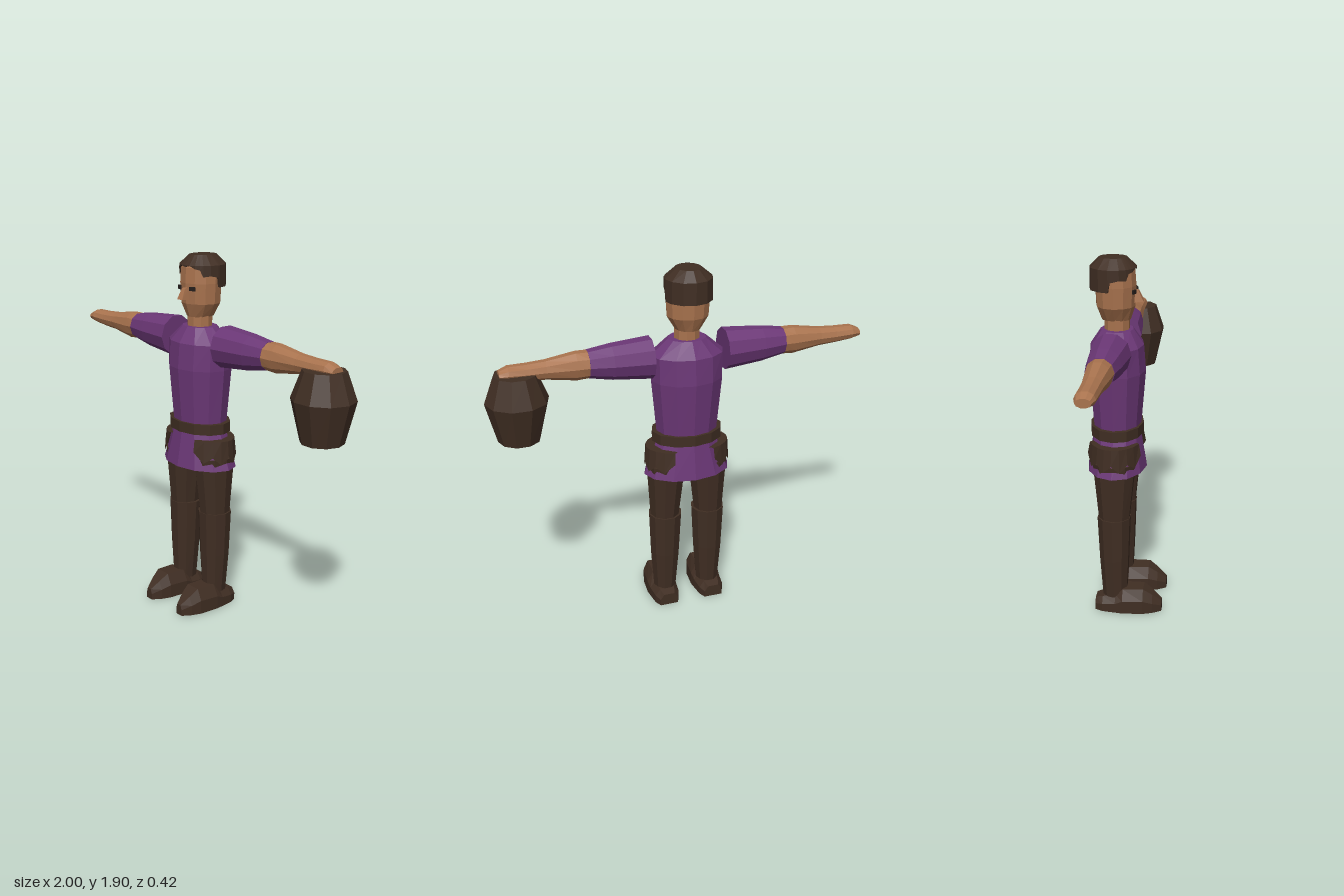
import * as THREE from 'three';

const mat = (name, color) => {
  const m = new THREE.MeshStandardMaterial({ color, flatShading: true, side: THREE.DoubleSide });
  m.name = name;
  return m;
};

// Skin a list of point rings into a surface, optionally closing both ends
function skin(rings, { closed = true, caps = true } = {}) {
  const n = rings[0].length, pos = rings.flat(2), idx = [];
  for (let r = 0; r < rings.length - 1; r++) {
    for (let i = 0; i < (closed ? n : n - 1); i++) {
      const j = (i + 1) % n, a = r * n, b = a + n;
      idx.push(a + i, b + i, a + j, a + j, b + i, b + j);
    }
  }
  if (caps) {
    const last = (rings.length - 1) * n;
    for (let i = 1; i < n - 1; i++) {
      idx.push(0, i, i + 1, last, last + i + 1, last + i);
    }
  }
  const g = new THREE.BufferGeometry();
  g.setAttribute('position', new THREE.Float32BufferAttribute(pos, 3));
  g.setIndex(idx);
  const flat = g.toNonIndexed();
  flat.computeVertexNormals();
  return flat;
}

const angles = n => Array.from({ length: n }, (_, i) => (i / n) * Math.PI * 2);

// Upright loft: sections are [y, radiusX, radiusZ, centreX, centreZ]
const loftY = (sections, n = 12) => skin(sections.map(([y, rx, rz, cx = 0, cz = -0.05]) =>
  angles(n).map(a => [cx + rx * Math.cos(a), y, cz + rz * Math.sin(a)])));

// Sideways loft: sections are [x, radiusY, radiusZ, centreY]; side is +1 or -1
function loftX(sections, side, n = 10) {
  const rings = sections.map(([x, ry, rz, cy]) =>
    angles(n).map(a => [side * x, cy + ry * Math.sin(a), -0.055 + rz * Math.cos(a)]));
  return skin(side > 0 ? rings : rings.reverse());
}

export function createModel() {
  const purple = mat('purple cloth', 0x6b3776);
  const brown = mat('dark brown leather', 0x402e23);
  const skinTone = mat('skin', 0xa9734e);
  const black = mat('eye black', 0x241e1b);

  const model = new THREE.Group();
  const figure = new THREE.Group();
  figure.name = 'figure';
  figure.position.x = -0.04;
  model.add(figure);
  const add = (name, geometry, material, parent = figure) => {
    const m = new THREE.Mesh(geometry, material);
    m.name = name;
    parent.add(m);
    return m;
  };

  // Tunic, belt and skirt
  add('torso', loftY([
    [0.97, 0.16, 0.122], [1.03, 0.165, 0.126], [1.32, 0.192, 0.149],
    [1.455, 0.193, 0.138], [1.535, 0.1, 0.085]]), purple);
  add('belt', loftY([[0.98, 0.191, 0.14], [1.035, 0.191, 0.14]]), brown);
  add('skirt', loftY([[0.79, 0.235, 0.157], [0.98, 0.165, 0.126]]), purple);

  // Head and neck
  add('neck', loftY([[1.5, 0.067, 0.065], [1.62, 0.067, 0.065]], 10), skinTone);
  add('head', loftY([
    [1.585, 0.065, 0.075, 0, -0.055], [1.655, 0.108, 0.1, 0, -0.057],
    [1.76, 0.115, 0.105, 0, -0.057], [1.84, 0.113, 0.102, 0, -0.06],
    [1.87, 0.08, 0.08, 0, -0.07]]), skinTone);

  // Nose wedge
  add('nose', skin([
    [[0.02, 1.675, 0.03], [0.02, 1.68, 0.086], [-0.02, 1.68, 0.086], [-0.02, 1.675, 0.03]],
    [[0.012, 1.74, 0.03], [0.012, 1.735, 0.06], [-0.012, 1.735, 0.06], [-0.012, 1.74, 0.03]],
  ]), skinTone);

  // Hair cap: each entry is [angle in degrees, lower edge]; front is 90
  const hairline = [
    [0, 1.79], [22, 1.80], [40, 1.795], [48, 1.83], [60, 1.835], [75, 1.85], [90, 1.842],
    [105, 1.85], [120, 1.835], [132, 1.83], [140, 1.795], [158, 1.80], [180, 1.79],
    [185, 1.74], [210, 1.74], [240, 1.74], [270, 1.74], [300, 1.74], [330, 1.74], [355, 1.74]];
  const hairRing = (rx, rz, height) => hairline.map(([d, low]) => {
    const a = THREE.MathUtils.degToRad(d);
    return [rx * Math.cos(a), height ?? low, -0.07 + rz * Math.sin(a)];
  });
  add('hair', skin([
    hairRing(0.108, 0.1), hairRing(0.123, 0.121), hairRing(0.122, 0.12, 1.852),
    hairRing(0.065, 0.073, 1.9)], { caps: false }), brown);
  add('crown', skin([hairRing(0.065, 0.073, 1.899), hairRing(0.064, 0.072, 1.9)]), brown);

  const jag = [0.89, 0.835, 0.865, 0.825, 0.865, 0.825, 0.865, 0.835, 0.89];
  for (const s of [1, -1]) {
    const side = s > 0 ? 'left' : 'right';

    // Eye plate
    const eye = add(side + 'Eye', new THREE.BoxGeometry(0.034, 0.02, 0.009), black);
    eye.position.set(s * 0.05, 1.735, 0.043);
    eye.rotation.y = s * 0.35;

    // Sleeve, forearm and hand
    add(side + 'Sleeve', loftX([
      [0.195, 0.11, 0.105, 1.45], [0.4, 0.092, 0.088, 1.452], [0.52, 0.072, 0.072, 1.455]], s), purple);
    add(side + 'ForearmAndHand', loftX([
      [0.515, 0.071, 0.07, 1.455], [0.58, 0.074, 0.065, 1.453], [0.73, 0.05, 0.052, 1.453],
      [0.82, 0.044, 0.05, 1.453], [0.915, 0.038, 0.05, 1.457], [0.96, 0.022, 0.038, 1.453]], s), skinTone);

    // Torn-edged pouch wrapped over the hip
    const arc = (rx, rz, height) => jag.map((low, i) => {
      const a = THREE.MathUtils.degToRad(-62 + i * 15.5);
      return [s * rx * Math.cos(a), height ?? low, -0.052 + rz * Math.sin(a)];
    });
    const rings = [arc(0.232, 0.158), arc(0.224, 0.146, 0.95), arc(0.165, 0.12, 0.95)];
    if (s < 0) rings.forEach(r => r.reverse());
    add(side + 'HipPouch', skin(rings, { closed: false, caps: false }), brown);

    // Legs
    add(side + 'Thigh', loftY([
      [0.5, 0.076, 0.08, s * 0.125], [0.85, 0.107, 0.116, s * 0.115]], 10), brown);
    add(side + 'Shin', loftY([
      [0.08, 0.062, 0.067, s * 0.124, -0.047], [0.3, 0.08, 0.08, s * 0.123, -0.05],
      [0.54, 0.091, 0.09, s * 0.121, -0.052]], 10), brown);

    // Shoe: sections are [z, half width, height]
    add(side + 'Shoe', skin([
      [-0.15, 0.05, 0.065], [-0.11, 0.068, 0.078], [-0.04, 0.076, 0.095], [0, 0.08, 0.13],
      [0.11, 0.07, 0.135], [0.16, 0.052, 0.1], [0.208, 0.022, 0.06],
    ].map(([z, w, h]) => [[0.6, 1], [1, 0.55], [1, 0], [-1, 0], [-1, 0.55], [-0.6, 1]]
      .map(([x, y]) => [s * 0.13 + x * w, y * h, z]))), brown);
  }

  // Bucket hanging from the left hand
  add('bucket', loftY([
    [1.1, 0.107, 0.107, 0.84, -0.055], [1.31, 0.16, 0.155, 0.84, -0.055],
    [1.45, 0.107, 0.107, 0.84, -0.055]], 10), brown, model);

  return model;
}
